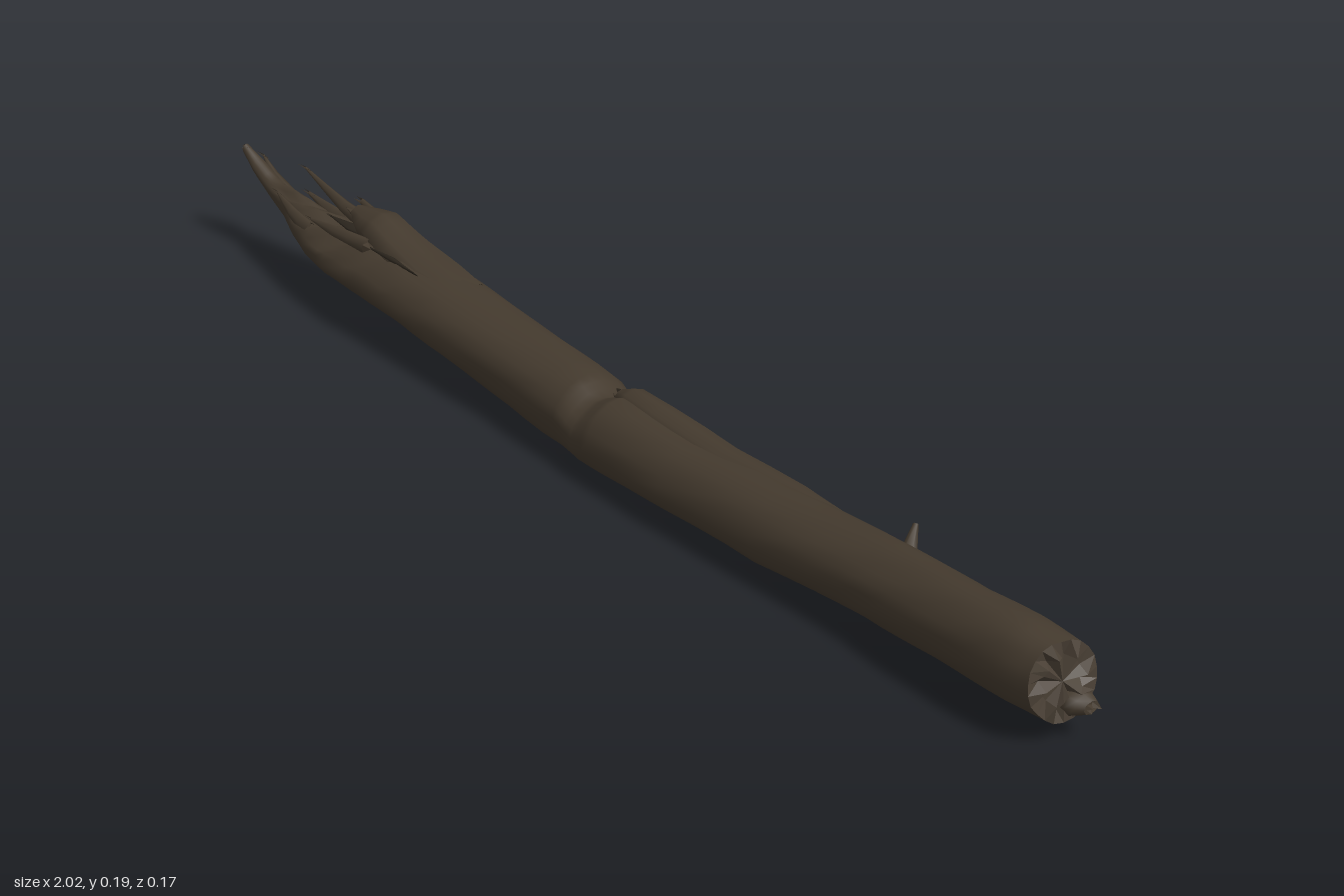
import * as THREE from 'three';

const bark = new THREE.MeshStandardMaterial({ color: 0x443a2e });
bark.name = 'bark brown';
const wood = new THREE.MeshStandardMaterial({ color: 0x4a4035 });
wood.name = 'broken wood';
const hollow = new THREE.MeshStandardMaterial({ color: 0x2b251d });
hollow.name = 'dark crack';

// Bumps that run mostly along the grain
const grain = (x, a) =>
  0.4 * Math.sin(3 * a + 5 * x) + 0.35 * Math.sin(5 * a - 9 * x + 1) +
  0.3 * Math.sin(23 * x + 2 * a) + 0.25 * Math.sin(8 * a + 37 * x);

// Loft through stations [x, yLow, yHigh, zBack, zFront]; `shape` may adjust each point
function loft(name, stations, { sides = 12, steps = 2, rough = 0, mat = bark, capMat = bark, shape } = {}) {
  const rows = [];
  for (let s = 0; s < stations.length - 1; s++) {
    for (let k = 0; k < steps; k++) {
      rows.push(stations[s].map((v, c) => THREE.MathUtils.lerp(v, stations[s + 1][c], k / steps)));
    }
  }
  rows.push(stations[stations.length - 1]);

  const rings = rows.map(([x, y0, y1, z0, z1]) => Array.from({ length: sides }, (_, j) => {
    const a = (j / sides) * Math.PI * 2;
    const r = 1 + rough * grain(x, a);
    const p = new THREE.Vector3(
      x, (y0 + y1) / 2 + (y1 - y0) / 2 * r * Math.cos(a), (z0 + z1) / 2 + (z1 - z0) / 2 * r * Math.sin(a));
    if (shape) shape(p, a);
    p.y = Math.max(p.y, 0);
    return p;
  }));

  const index = [];
  for (let i = 0; i < rings.length - 1; i++) {
    for (let j = 0; j < sides; j++) {
      const n = (j + 1) % sides;
      const a = i * sides + j, b = a + sides, c = i * sides + n, d = c + sides;
      index.push(a, c, b, b, c, d);
    }
  }
  const side = new THREE.BufferGeometry().setFromPoints(rings.flat());
  side.setIndex(index);
  side.computeVertexNormals();

  // Ends: a dished disc with an inner ring
  const capPoints = [];
  [[rings[0], -1], [rings[rings.length - 1], 1]].forEach(([ring, dir]) => {
    const mid = ring.reduce((m, p) => m.add(p), new THREE.Vector3()).divideScalar(sides);
    const inner = ring.map((p, j) => {
      const q = p.clone().lerp(mid, 0.4);
      q.x += rough * 0.2 * Math.sin(j * 2.3);
      return q;
    });
    const put = (a, b, c) => capPoints.push(...(dir > 0 ? [a, b, c] : [a, c, b]));
    for (let j = 0; j < sides; j++) {
      const n = (j + 1) % sides;
      put(mid, inner[j], inner[n]);
      put(inner[j], ring[j], ring[n]);
      put(inner[j], ring[n], inner[n]);
    }
  });
  const caps = new THREE.BufferGeometry().setFromPoints(capPoints);
  caps.computeVertexNormals();

  const group = new THREE.Group();
  group.name = name;
  const sideMesh = new THREE.Mesh(side, mat);
  sideMesh.name = name + 'Side';
  const capMesh = new THREE.Mesh(caps, capMat);
  capMesh.name = name + 'Ends';
  group.add(sideMesh, capMesh);
  return group;
}

export function createModel() {
  const model = new THREE.Group();
  model.name = 'fallenLog';

  // Trunk, from the curled splinter at -x to the slanted break at +x
  const trunk = [
    [-1.0, 0.17, 0.188, -0.002, 0.012], [-0.97, 0.142, 0.168, -0.014, 0.013],
    [-0.93, 0.112, 0.145, -0.02, 0.011], [-0.88, 0.085, 0.134, -0.027, 0.014],
    [-0.83, 0.07, 0.132, -0.036, 0.033], [-0.77, 0.057, 0.128, -0.052, 0.05],
    [-0.7, 0.05, 0.13, -0.075, 0.06], [-0.6, 0.043, 0.145, -0.083, 0.065],
    [-0.5, 0.036, 0.144, -0.082, 0.066], [-0.4, 0.028, 0.142, -0.08, 0.066],
    [-0.2, 0.01, 0.134, -0.075, 0.068], [-0.06, 0.003, 0.13, -0.066, 0.073],
    [-0.015, 0.0, 0.108, -0.06, 0.076], [0.03, 0.003, 0.126, -0.054, 0.08],
    [0.2, 0.011, 0.122, -0.05, 0.081], [0.4, 0.012, 0.128, -0.052, 0.075],
    [0.58, 0.019, 0.138, -0.056, 0.066], [0.68, 0.024, 0.145, -0.047, 0.066],
    [0.8, 0.029, 0.155, -0.04, 0.072], [0.9, 0.032, 0.162, -0.038, 0.075],
    [0.975, 0.036, 0.157, -0.036, 0.07],
  ];
  model.add(loft('trunk', trunk, {
    sides: 22, steps: 3, rough: 0.045, capMat: wood,
    shape: (p, a) => {
      // Torn upper face near the splintered end
      if (p.x < -0.5 && p.x > -0.9) p.y += 0.007 * Math.max(0, Math.cos(a)) * Math.sin(p.x * 61 + a * 5);
      // Slanted break: low back corner reaches furthest
      if (p.x > 0.93) {
        const t = (p.x - 0.93) / 0.045;
        p.x += t * (-0.22 * (p.z - 0.015) - 0.12 * (p.y - 0.09));
      }
    },
  }));

  // Lip of wood left standing at the lower edge of the break
  model.add(loft('breakLip', [
    [0.92, 0.035, 0.085, -0.035, 0.03], [0.98, 0.036, 0.08, -0.034, 0.02], [1.0, 0.045, 0.066, -0.028, 0.0],
  ], { sides: 8, rough: 0.06 }));

  // Loose bark slabs on the upper side
  model.add(loft('tornBark', [
    [-0.72, 0.145, 0.164, -0.045, -0.015], [-0.68, 0.125, 0.171, -0.06, 0.005],
    [-0.64, 0.12, 0.178, -0.065, 0.012], [-0.58, 0.11, 0.164, -0.07, 0.02],
    [-0.5, 0.1, 0.15, -0.07, 0.03], [-0.4, 0.1, 0.14, -0.06, 0.02],
  ], { sides: 9, steps: 3, rough: 0.1 }));
  model.add(loft('topRidge', [
    [-0.0, 0.1, 0.122, -0.03, 0.0], [0.03, 0.085, 0.134, -0.045, 0.015], [0.1, 0.085, 0.134, -0.045, 0.02],
    [0.25, 0.085, 0.126, -0.045, 0.022], [0.4, 0.085, 0.126, -0.045, 0.012], [0.5, 0.09, 0.125, -0.035, 0.0],
  ], { sides: 10, rough: 0.06 }));

  // Splinters, each from a thick root to a sharp tip: x, y, z, half thickness
  const splinters = [
    [[-0.66, 0.135, -0.03, 0.017], [-0.76, 0.146, -0.032, 0.011], [-0.82, 0.157, -0.036, 0.007], [-0.88, 0.174, -0.036, 0.002]],
    [[-0.6, 0.11, -0.06, 0.024], [-0.7, 0.12, -0.075, 0.013], [-0.75, 0.125, -0.08, 0.009], [-0.785, 0.132, -0.084, 0.005]],
    [[-0.62, 0.14, 0.02, 0.014], [-0.7, 0.142, 0.03, 0.01], [-0.77, 0.138, 0.03, 0.002]],
    [[-0.72, 0.105, -0.045, 0.02], [-0.8, 0.115, -0.04, 0.013], [-0.87, 0.132, -0.034, 0.003]],
    [[-0.78, 0.11, 0.025, 0.015], [-0.84, 0.122, 0.02, 0.01], [-0.9, 0.135, 0.01, 0.002]],
    [[-0.9, 0.12, -0.015, 0.014], [-0.95, 0.14, -0.018, 0.008], [-0.985, 0.165, -0.02, 0.002]],
  ];
  splinters.forEach((pts, i) => model.add(loft('splinter' + (i + 1),
    pts.map(([x, y, z, r]) => [x, y - r, y + r, z - r, z + r]).reverse(), { sides: 6, rough: 0.12 })));

  // Twig stub on the upper back
  const stub = new THREE.Mesh(new THREE.CylinderGeometry(0.004, 0.012, 0.04, 6), bark);
  stub.name = 'twigStub';
  stub.position.set(0.61, 0.128, -0.048);
  stub.rotation.set(-0.7, 0, 0.35);
  model.add(stub);

  // Dark cracks lying along the grain and under the torn bark
  [
    [-0.015, 0.1, -0.03, 0.025, 0.007], [-0.7, 0.134, -0.005, 0.06, 0.012], [-0.55, 0.14, 0.022, 0.06, 0.005],
  ].forEach(([x, y, z, len, half], i) => model.add(loft('crack' + (i + 1), [
    [x - len, y, y + 0.004, z - 0.001, z + 0.001], [x, y, y + 0.008, z - half, z + half],
    [x + len, y, y + 0.004, z - 0.001, z + 0.001],
  ], { sides: 6, rough: 0.1, mat: hollow, capMat: hollow })));

  return model;
}
